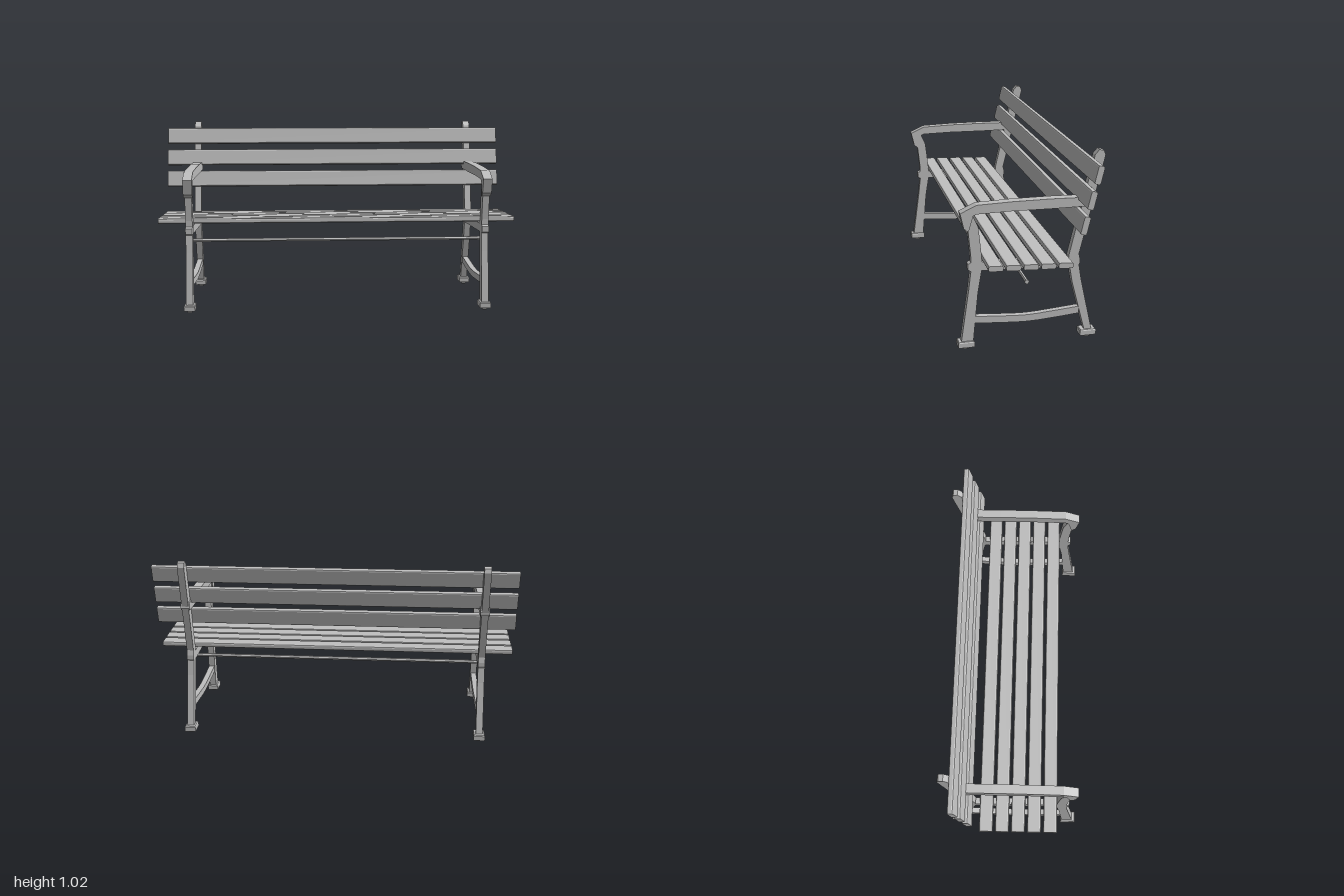
import * as THREE from 'three';

const paint = new THREE.MeshStandardMaterial({ color: 0xbfbfbf });
paint.name = 'light grey';

// Side profile in [z, y] points, extruded along x and centred on x
function profile(name, points, width, x = 0) {
  const shape = new THREE.Shape(points.map(([z, y]) => new THREE.Vector2(z, y)));
  const geometry = new THREE.ExtrudeGeometry(shape, { depth: width, bevelEnabled: false });
  geometry.translate(0, 0, -width / 2);
  geometry.rotateY(-Math.PI / 2);
  const mesh = new THREE.Mesh(geometry, paint);
  mesh.name = name;
  mesh.position.x = x;
  return mesh;
}

// Plank running along x with softened long edges
function slat(name, z, y, w, h, angle) {
  const a = w / 2, b = h / 2, r = 0.008, k = 0.0024;
  const corners = [];
  for (const [sx, sy, flip] of [[1, 1, 0], [-1, 1, 1], [-1, -1, 0], [1, -1, 1]]) {
    const c = [[sx * a, sy * (b - r)], [sx * (a - k), sy * (b - k)], [sx * (a - r), sy * b]];
    corners.push(...(flip ? c.reverse() : c));
  }
  const mesh = profile(name, corners, 2);
  mesh.position.set(0, y, z);
  mesh.rotation.x = angle;
  return mesh;
}

function faceted(geometry) {
  const g = geometry.toNonIndexed();
  g.computeVertexNormals();
  return g;
}

// Foot pad with chamfered top and a small tapered stud beneath
function foot(z) {
  const group = new THREE.Group();
  group.name = 'foot';
  const add = (name, top, bottom, h, w, d, y) => {
    const g = new THREE.CylinderGeometry(top * Math.SQRT1_2, bottom * Math.SQRT1_2, h, 4);
    g.rotateY(Math.PI / 4);
    g.scale(w, 1, d);
    const mesh = new THREE.Mesh(faceted(g), paint);
    mesh.name = name;
    mesh.position.y = y;
    group.add(mesh);
  };
  add('padTop', 0.9, 1, 0.006, 0.062, 0.086, 0.044);
  add('pad', 1, 1, 0.025, 0.062, 0.086, 0.0285);
  add('stud', 1, 0.6, 0.016, 0.036, 0.046, 0.008);
  group.position.z = z;
  return group;
}

function sideFrame(x) {
  const frame = new THREE.Group();
  frame.name = 'sideFrame';
  frame.add(
    profile('frontLeg', [
      [0.3, 0.04], [0.363, 0.04], [0.322, 0.33], [0.31, 0.43], [0.325, 0.437], [0.325, 0.468],
      [0.31, 0.477], [0.31, 0.51], [0.323, 0.645], [0.335, 0.74], [0.29, 0.74],
      [0.297, 0.72], [0.272, 0.665], [0.264, 0.6], [0.254, 0.5], [0.255, 0.43], [0.275, 0.31],
    ], 0.038),
    profile('backLeg', [
      [-0.296, 0.04], [-0.222, 0.32], [-0.206, 0.41], [-0.2, 0.47], [-0.323, 0.995],
      [-0.345, 1.02], [-0.37, 1.014], [-0.378, 0.99], [-0.254, 0.475], [-0.261, 0.445],
      [-0.261, 0.425], [-0.256, 0.415], [-0.27, 0.33], [-0.335, 0.04],
    ], 0.038),
    // Arm with its drooping front scroll
    profile('armrest', [
      [0.363, 0.74], [0.28, 0.778], [0.1, 0.783], [-0.1, 0.783], [-0.3, 0.778], [-0.318, 0.768],
      [-0.323, 0.745], [-0.308, 0.731], [-0.1, 0.731], [0.1, 0.734], [0.28, 0.731],
      [0.298, 0.723], [0.322, 0.64], [0.345, 0.66],
    ], 0.05),
    profile('seatRail', [[0.26, 0.475], [0.26, 0.43], [-0.21, 0.408], [-0.21, 0.457], [0.02, 0.468]], 0.036),
    profile('stretcher', [
      [0.29, 0.18], [0.2, 0.172], [0.08, 0.163], [0.02, 0.161], [-0.04, 0.163], [-0.16, 0.172], [-0.262, 0.18],
      [-0.262, 0.142], [-0.16, 0.133], [-0.04, 0.125], [0.02, 0.124], [0.08, 0.126], [0.2, 0.135], [0.295, 0.143],
    ], 0.032),
    foot(0.337),
    foot(-0.313),
  );
  frame.position.x = x;
  return frame;
}

// Hexagonal bar along x
function hexBar(name, radius, length, x) {
  const g = new THREE.CylinderGeometry(radius, radius, length, 6);
  g.rotateZ(Math.PI / 2);
  const mesh = new THREE.Mesh(faceted(g), paint);
  mesh.name = name;
  mesh.position.set(x, 0.35, 0.022);
  return mesh;
}

export function createModel() {
  const bench = new THREE.Group();
  bench.name = 'bench';

  for (const side of [-1, 1]) {
    bench.add(sideFrame(side * 0.823));
    bench.add(hexBar('tieRodNut', 0.0125, 0.012, side * 0.846));
  }
  bench.add(hexBar('tieRod', 0.0105, 1.7, 0));

  // Seat slats fall gently towards the back
  for (let i = 0; i < 5; i++) {
    bench.add(slat('seatSlat', 0.218 - i * 0.0888, 0.498 - i * 0.0038, 0.075, 0.028, -0.055));
  }
  // Back slats lean with the posts
  for (let i = 0; i < 3; i++) {
    bench.add(slat('backSlat', -0.232 - i * 0.0315, 0.682 + i * 0.1268, 0.032, 0.094, -0.23));
  }
  return bench;
}
